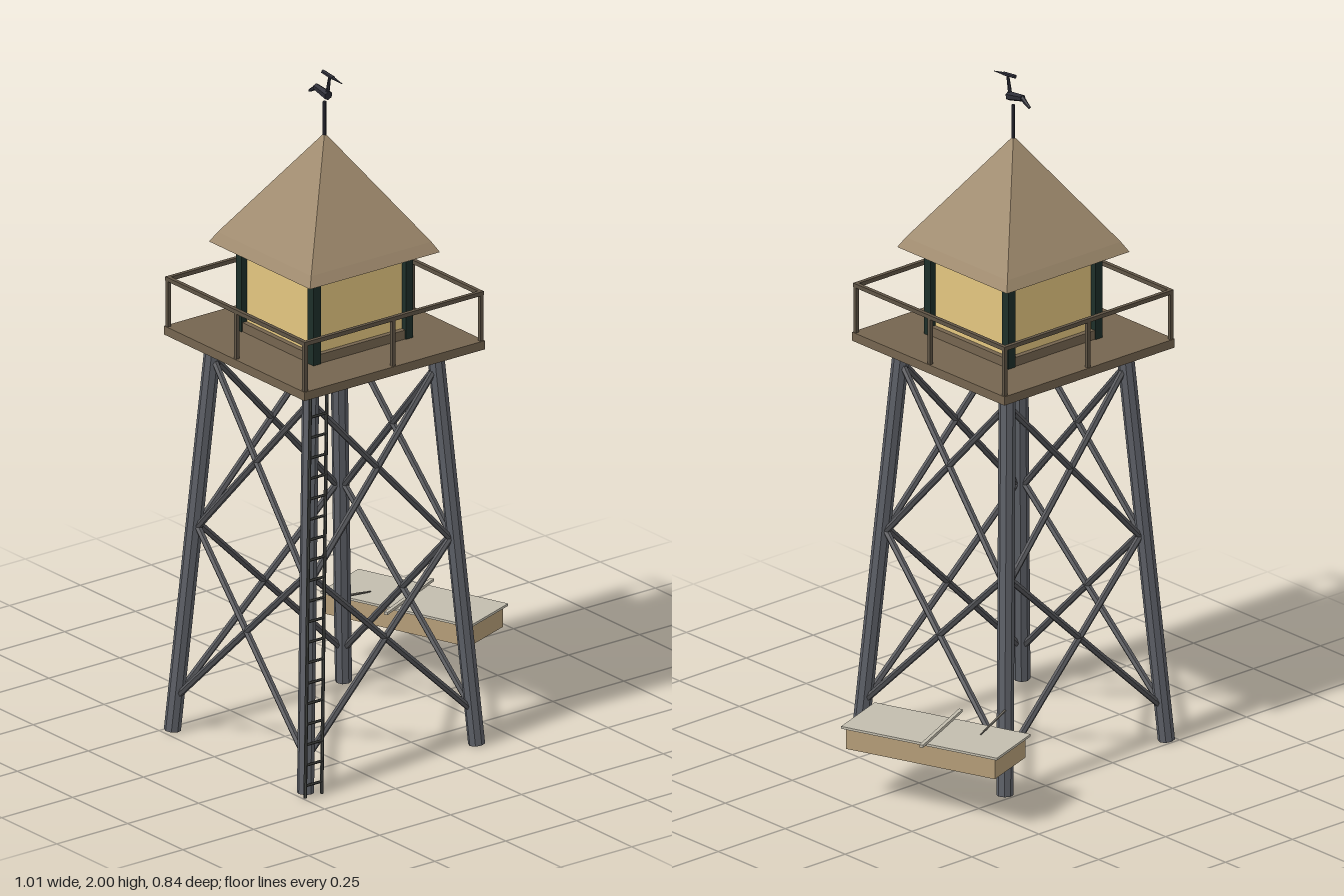
import * as THREE from 'three';

const mat = (color) => new THREE.MeshStandardMaterial({ color, flatShading: true });
const M = {
  steel: mat(0x5c5f66), brace: mat(0x55565a), deck: mat(0x75654f), rail: mat(0x5f5445),
  wall: mat(0xe3c680), post: mat(0x1d2f29), roof: mat(0xa08b6e), dark: mat(0x2c2c36),
  ladder: mat(0x40423f), hull: mat(0xb59d78), cover: mat(0xc2bdae), rope: mat(0x77736a),
};

function add(parent, name, geometry, material, x = 0, y = 0, z = 0) {
  const mesh = new THREE.Mesh(geometry, material);
  mesh.name = name;
  mesh.position.set(x, y, z);
  parent.add(mesh);
  return mesh;
}

const box = (parent, name, material, w, h, d, x, y, z) =>
  add(parent, name, new THREE.BoxGeometry(w, h, d), material, x, y, z);

// Round bar between two points, with optional taper
function bar(parent, name, material, a, b, r, sides = 6, rEnd = r) {
  const from = new THREE.Vector3(...a), to = new THREE.Vector3(...b);
  const dir = to.clone().sub(from);
  const mesh = add(parent, name, new THREE.CylinderGeometry(rEnd, r, dir.length(), sides), material);
  mesh.position.copy(from).add(to).multiplyScalar(0.5);
  mesh.quaternion.setFromUnitVectors(new THREE.Vector3(0, 1, 0), dir.normalize());
  return mesh;
}

// Distance of a leg's centre line from the tower axis at height y
const spread = (y) => 0.302 - 0.07 * y;

function named(parent, name) {
  const g = new THREE.Group();
  g.name = name;
  parent.add(g);
  return g;
}

function buildFrame(tower) {
  for (const sx of [-1, 1]) for (const sz of [-1, 1]) {
    const p = (y) => [sx * spread(y), y, sz * spread(y)];
    bar(tower, 'leg', M.steel, p(0.003), p(1.19), 0.024, 8);
  }
  // Two crossed braces, one above the other, on each side
  for (let side = 0; side < 4; side++) {
    const g = named(tower, 'crossBraces');
    g.rotation.y = side * Math.PI / 2;
    for (const [low, high] of [[0.1, 0.635], [0.6, 1.13]]) for (const s of [-1, 1]) {
      bar(g, 'brace', M.brace, [-s * spread(low), low, spread(low)],
        [s * spread(high), high, spread(high)], 0.01);
    }
  }
}

function buildLadder(tower) {
  const ladder = named(tower, 'ladder');
  const at = (y, dx) => [-spread(y) + dx, y, spread(y) + 0.036];
  for (const dx of [-0.029, 0.029]) bar(ladder, 'ladderRail', M.ladder, at(0.005, dx), at(1.19, dx), 0.005);
  for (let i = 0; i < 20; i++) {
    const y = 0.04 + i * 0.059;
    bar(ladder, 'rung', M.ladder, at(y, -0.029), at(y, 0.029), 0.004);
  }
}

function buildDeck(tower) {
  box(tower, 'deck', M.deck, 0.636, 0.026, 0.636, 0, 1.198, 0);
  for (let side = 0; side < 4; side++) {
    const g = named(tower, 'railing');
    g.rotation.y = side * Math.PI / 2;
    box(g, 'handrail', M.rail, 0.632, 0.012, 0.012, 0, 1.353, 0.31);
    for (const x of [0, 0.31]) box(g, 'railPost', M.rail, 0.011, 0.145, 0.011, x, 1.282, 0.31);
  }
}

function buildCabin(tower) {
  const cabin = named(tower, 'cabin');
  box(cabin, 'sill', M.deck, 0.345, 0.028, 0.345, 0, 1.224, 0);
  box(cabin, 'walls', M.wall, 0.315, 0.235, 0.315, 0, 1.345, 0);
  box(cabin, 'topPlate', M.post, 0.345, 0.014, 0.345, 0, 1.465, 0);
  for (const x of [-1, 1]) for (const z of [-1, 1])
    box(cabin, 'cornerPost', M.post, 0.026, 0.26, 0.026, x * 0.163, 1.34, z * 0.163);
  // Four-sided roof with an eave band and a closed underside
  const profile = [[0, 1.47], [0.229, 1.47], [0.212, 1.5], [0, 1.812]]
    .map(([r, y]) => new THREE.Vector2(r * Math.SQRT2, y));
  add(cabin, 'roof', new THREE.LatheGeometry(profile, 4, Math.PI / 4), M.roof);
}

function buildVane(tower) {
  const vane = named(tower, 'weatherVane');
  bar(vane, 'vanePole', M.dark, [0, 1.8, 0], [0, 1.906, 0], 0.005);
  // Bird figure: body, tail, neck and long bill
  bar(vane, 'birdBody', M.dark, [0, 1.928, 0.018], [0, 1.938, -0.04], 0.014, 6, 0.01);
  bar(vane, 'birdTail', M.dark, [0, 1.938, -0.035], [0, 1.917, -0.068], 0.008, 6, 0.004);
  bar(vane, 'birdNeck', M.dark, [0, 1.928, 0.012], [0, 1.99, 0.024], 0.006, 6, 0.004);
  bar(vane, 'birdHead', M.dark, [0, 1.993, -0.008], [0, 1.988, 0.04], 0.006);
  bar(vane, 'birdBill', M.dark, [0, 1.988, 0.035], [0, 1.983, 0.08], 0.005, 6, 0.001);
}

function buildBoat(root) {
  const boat = named(root, 'boat');
  boat.position.set(0.326, 0, -0.155);
  boat.rotation.y = THREE.MathUtils.degToRad(20);
  box(boat, 'hull', M.hull, 0.18, 0.062, 0.47, 0, 0.19, 0);
  box(boat, 'cover', M.cover, 0.199, 0.007, 0.492, 0, 0.2245, 0);
  // Oar laid across the boat and mooring line to the leg
  const oar = box(root, 'oar', M.cover, 0.285, 0.008, 0.011, 0.312, 0.232, -0.161);
  oar.rotation.y = 0.443;
  bar(root, 'mooringLine', M.rope, [0.13, 0.256, -0.226], [0.2, 0.241, -0.247], 0.004);
  bar(root, 'mooringLine', M.rope, [0.2, 0.241, -0.247], [0.255, 0.229, -0.263], 0.004, 6, 0.002);
}

export function createModel() {
  const root = new THREE.Group();
  root.name = 'watchtower';
  const tower = named(root, 'tower');
  tower.position.set(-0.168, 0, 0.073);
  buildFrame(tower);
  buildLadder(tower);
  buildDeck(tower);
  buildCabin(tower);
  buildVane(tower);
  buildBoat(root);
  return root;
}
